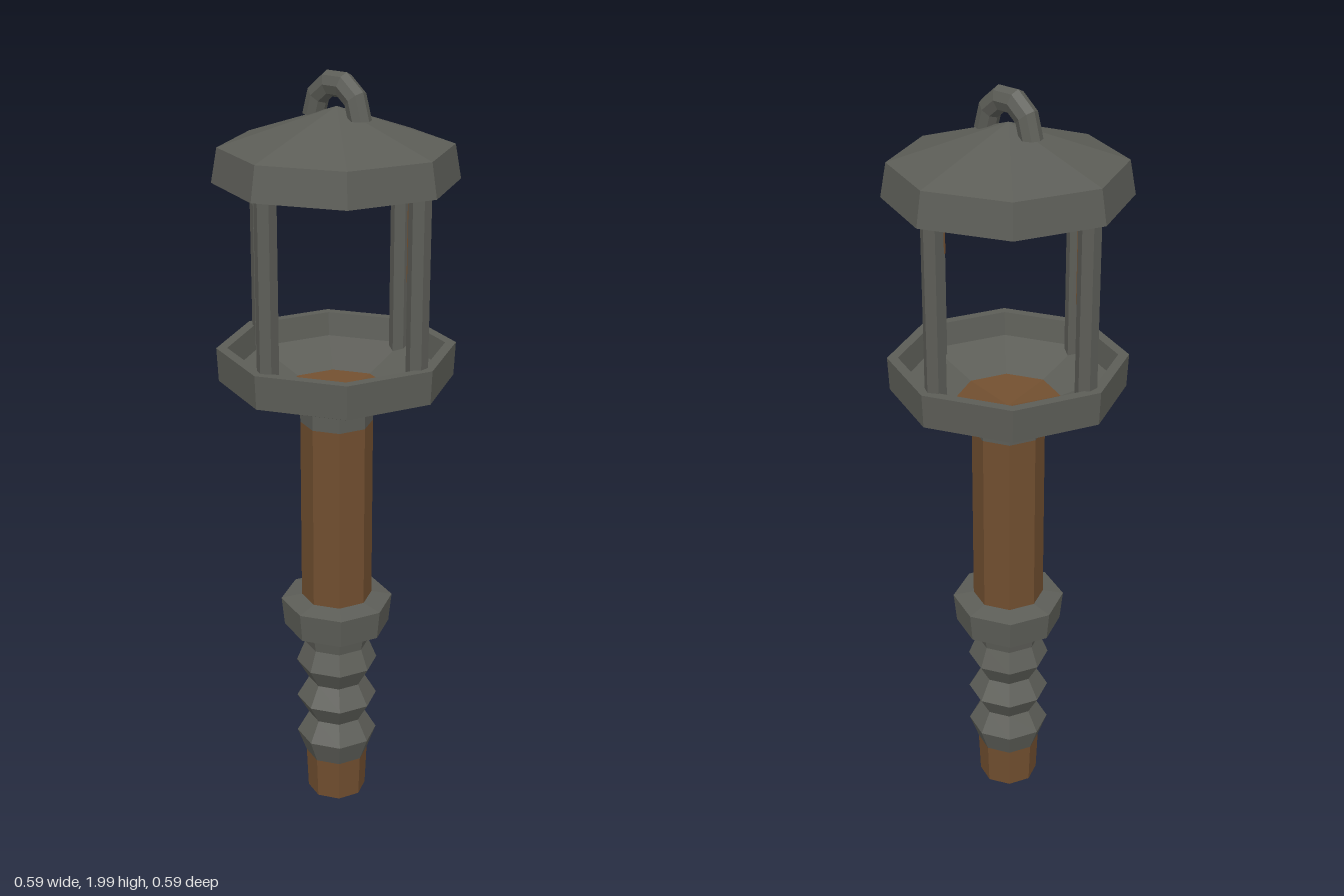
import * as THREE from 'three';

export function createModel() {
  const model = new THREE.Group();
  model.name = 'lanternTorch';

  const iron = new THREE.MeshStandardMaterial({ color: 0x5c5d57, flatShading: true });
  iron.name = 'dark iron';
  const wood = new THREE.MeshStandardMaterial({ color: 0x704e2f, flatShading: true });
  wood.name = 'brown wood';

  function add(name, geometry, material, x = 0, y = 0, z = 0) {
    const mesh = new THREE.Mesh(geometry, material);
    mesh.name = name;
    mesh.position.set(x, y, z);
    model.add(mesh);
    return mesh;
  }

  // Eight-sided turned part; the profile runs [radius, height]
  function turned(name, material, profile) {
    const points = profile.map(([r, y]) => new THREE.Vector2(r, y));
    return add(name, new THREE.LatheGeometry(points, 8), material);
  }

  // Handle: pointed foot, ribbed grip with collar, shaft
  turned('foot', wood, [[0, 0.005], [0.078, 0.05], [0.083, 0.17]]);
  turned('grip', iron, [
    [0.083, 0.165], [0.107, 0.23], [0.075, 0.285], [0.107, 0.34], [0.075, 0.395],
    [0.107, 0.45], [0.085, 0.505], [0.09, 0.535], [0.138, 0.56], [0.146, 0.637], [0.09, 0.648],
  ]);
  turned('shaft', wood, [[0.092, 0.64], [0.092, 1.135]]);
  turned('shaftCap', iron, [[0.092, 1.135], [0.092, 1.185]]);

  // Cage base: stained underside, iron rim, hollow bowl with a stained floor
  turned('bowlUnderside', wood, [[0.09, 1.18], [0.275, 1.243]]);
  turned('bowlRim', iron, [
    [0.275, 1.243], [0.293, 1.25], [0.297, 1.335], [0.27, 1.335], [0.26, 1.275], [0.13, 1.225],
  ]);
  turned('bowlFloor', wood, [[0.13, 1.225], [0, 1.2]]);

  // Four posts, with stains on the inner faces of the side pair
  for (let i = 0; i < 4; i++) {
    const a = (i * Math.PI) / 2;
    add('post', new THREE.CylinderGeometry(0.027, 0.027, 0.56, 6), iron,
      Math.sin(a) * 0.25, 1.54, Math.cos(a) * 0.25);
  }
  for (const side of [-1, 1]) {
    add('postStain', new THREE.BoxGeometry(0.006, 0.2, 0.02), wood, side * 0.225, 1.64, 0);
  }

  // Roof with a hollow underside
  turned('roof', iron, [
    [0, 1.885], [0.262, 1.81], [0.275, 1.745], [0.297, 1.745], [0.282, 1.828], [0, 1.92],
  ].map(([r, y]) => [r, y]));

  // Hanging loop
  const loop = add('hangingLoop', new THREE.TorusGeometry(0.07, 0.028, 8, 5, Math.PI), iron, 0, 1.895, 0);
  loop.scale.y = 1.125;

  return model;
}
